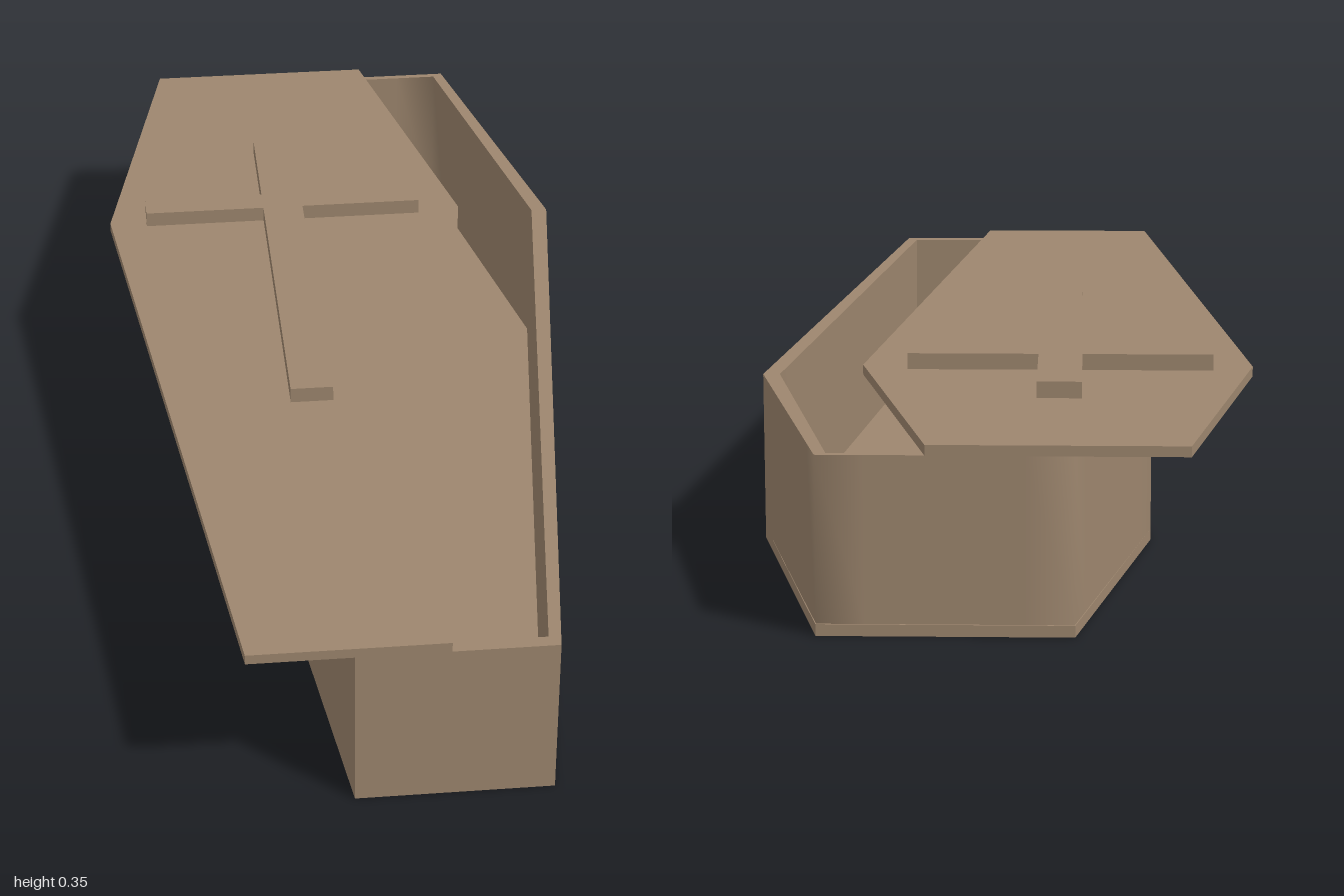
import * as THREE from 'three';
import { toCreasedNormals } from 'three/addons/utils/BufferGeometryUtils.js';

// Symmetric plan outline, counterclockwise, given as [half width, z, centre x] from head to foot
function outline(rows) {
  return [
    ...rows.map(([w, z, c = 0]) => new THREE.Vector2(c - w, -z)),
    ...rows.slice().reverse().map(([w, z, c = 0]) => new THREE.Vector2(c + w, -z)),
  ];
}

// Add points close to each corner, so that shading softens only there
function softCorners(pts, distance) {
  return pts.flatMap((p, i) => {
    const q = pts[(i + 1) % pts.length];
    const t = distance / p.distanceTo(q);
    return [p, p.clone().lerp(q, t), p.clone().lerp(q, 1 - t)];
  });
}

// Extrude a plan shape upward from y0 to y1
function slab(name, shape, y0, y1, material) {
  const geo = new THREE.ExtrudeGeometry(shape, { depth: y1 - y0, bevelEnabled: false });
  geo.rotateX(-Math.PI / 2);
  geo.translate(0, y0, 0);
  const mesh = new THREE.Mesh(geo, material);
  mesh.name = name;
  return mesh;
}

export function createModel() {
  const wood = new THREE.MeshStandardMaterial({ color: 0x9d866e });
  wood.name = 'brown wood';

  const model = new THREE.Group();
  model.name = 'coffin';

  // Open box, shifted to the model's left: floor and hollow walls
  const box = new THREE.Group();
  box.name = 'box';
  const floor = outline([[0.212, -1, 0.086], [0.349, -0.4, 0.089], [0.171, 1, 0.081]]);
  box.add(slab('floor', new THREE.Shape(floor), 0, 0.02, wood));

  const outer = outline([[0.211, -0.997, 0.086], [0.349, -0.4, 0.089], [0.171, 1, 0.081]]);
  const inner = outline([[0.193, -0.985, 0.086], [0.322, -0.4, 0.086], [0.153, 0.976, 0.081]]);
  const wallShape = new THREE.Shape(softCorners(outer, 0.08));
  wallShape.holes.push(new THREE.Path(softCorners(inner, 0.08)));
  const walls = slab('walls', wallShape, 0.02, 0.304, wood);
  walls.geometry = toCreasedNormals(walls.geometry, 1.4);
  box.add(walls);
  model.add(box);

  // Lid slid aside to the model's right
  const lid = new THREE.Group();
  lid.name = 'lid';
  const board = outline([[0.215, -1, -0.097], [0.349, -0.4, -0.091], [0.171, 1, -0.1]]);
  lid.add(slab('lidBoard', new THREE.Shape(board), 0.304, 0.322, wood));

  // Raised cross on the lid
  const cross = outline([
    [0.039, -0.66], [0.039, -0.435], [0.272, -0.435],
    [0.272, -0.383], [0.039, -0.383], [0.039, 0.27],
  ]);
  const crossMesh = slab('cross', new THREE.Shape(cross), 0.322, 0.351, wood);
  crossMesh.position.x = -0.096;
  lid.add(crossMesh);
  model.add(lid);

  return model;
}
